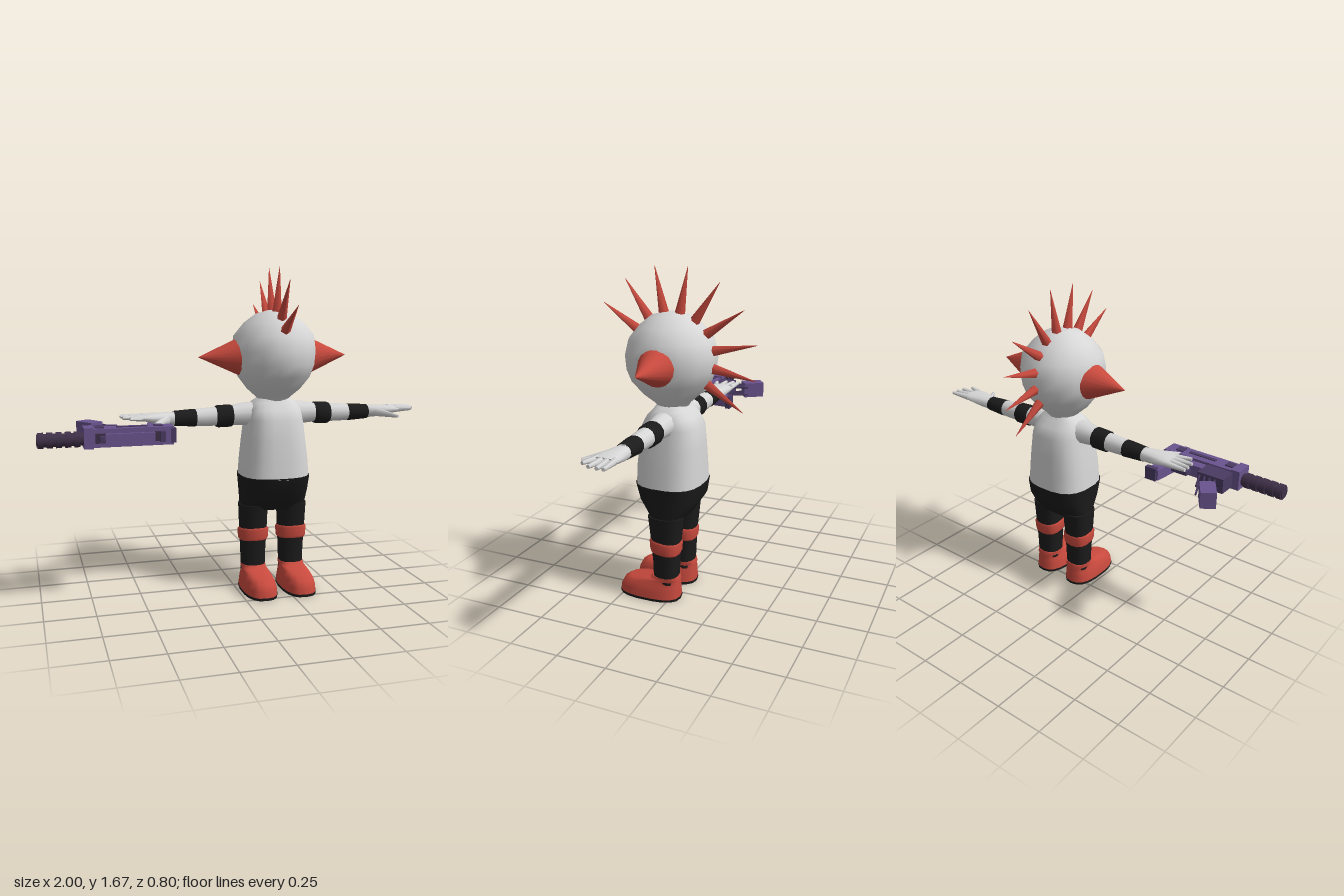
import * as THREE from 'three';

const mat = (name, color) => new THREE.MeshStandardMaterial({ name, color });

export function createModel() {
  const white = mat('white', 0xd6d6d6), black = mat('black', 0x1b1b1b), red = mat('red', 0xc94a3e);
  const purple = mat('purple', 0x6a548e), darkPurple = mat('dark purple', 0x4a3b63), barrelMat = mat('barrel purple', 0x3f3149);
  const model = new THREE.Group();
  const body = new THREE.Group();
  body.name = 'body';
  body.position.x = 0.205;
  const gun = new THREE.Group();
  gun.name = 'toyBlaster';
  model.add(body, gun);

  const add = (parent, name, geo, m) => {
    const mesh = new THREE.Mesh(geo, m);
    mesh.name = name;
    parent.add(mesh);
    return mesh;
  };

  // Closed skin over rings [y, cx, cz, rx, rz], with rounded-square exponent p
  const loft = (rings, n = 14, p = 2) => {
    const pos = [], idx = [];
    const sp = v => Math.sign(v) * Math.pow(Math.abs(v), 2 / p);
    const ring = ([y, cx, cz, rx, rz]) => {
      for (let i = 0; i < n; i++) {
        const a = (i + 0.5) / n * Math.PI * 2;
        pos.push(cx + rx * sp(Math.cos(a)), y, cz + rz * sp(Math.sin(a)));
      }
    };
    rings.forEach(ring);
    for (let r = 0; r < rings.length - 1; r++) for (let i = 0; i < n; i++) {
      const a = r * n + i, b = r * n + (i + 1) % n;
      idx.push(a, a + n, b, b, a + n, b + n);
    }
    for (const top of [false, true]) {
      const r = rings[top ? rings.length - 1 : 0], s = pos.length / 3;
      ring(r);
      pos.push(r[1], r[0], r[2]);
      for (let i = 0; i < n; i++) {
        const a = s + i, b = s + (i + 1) % n;
        idx.push(s + n, top ? b : a, top ? a : b);
      }
    }
    const g = new THREE.BufferGeometry();
    g.setAttribute('position', new THREE.Float32BufferAttribute(pos, 3));
    g.setIndex(idx);
    g.computeVertexNormals();
    return g;
  };

  // Tapered rod between two points
  const rod = (a, b, r0, r1, n = 6) => {
    const A = new THREE.Vector3(...a), d = new THREE.Vector3(...b).sub(A), len = d.length();
    const g = new THREE.CylinderGeometry(r1, r0, len, n);
    g.translate(0, len / 2, 0);
    g.applyQuaternion(new THREE.Quaternion().setFromUnitVectors(new THREE.Vector3(0, 1, 0), d.normalize()));
    return g.translate(A.x, A.y, A.z);
  };

  // Head
  add(body, 'head', loft([
    [0.98, 0, 0.03, 0.06, 0.07], [1.015, 0, 0.03, 0.095, 0.09], [1.055, 0, 0.035, 0.14, 0.14],
    [1.12, 0, 0.037, 0.188, 0.198], [1.18, 0, 0.037, 0.21, 0.222], [1.25, 0, 0.035, 0.217, 0.23],
    [1.325, 0, 0.035, 0.208, 0.21], [1.39, 0, 0.035, 0.155, 0.155], [1.435, 0, 0.035, 0.095, 0.1],
    [1.452, 0, 0.035, 0.035, 0.04]], 16), white);

  // Fan of nine spikes along the crest
  for (let i = 0; i < 9; i++) {
    const a = (33.5 + i * 22.5) * Math.PI / 180, c = Math.cos(a), s = Math.sin(a);
    add(body, 'crestSpike', rod([0, 1.235 + 0.19 * s, 0.033 + 0.19 * c],
      [0, 1.235 + 0.44 * s, 0.033 + 0.44 * c], 0.029, 0.001, 5), red);
  }

  // Torso and hips
  add(body, 'torso', loft([
    [0.6, 0, 0.033, 0.18, 0.168], [0.7, 0, 0.033, 0.172, 0.164], [0.8, 0, 0.03, 0.16, 0.156],
    [0.9, 0, 0.028, 0.147, 0.147], [0.95, 0, 0.028, 0.14, 0.118], [0.985, 0, 0.028, 0.115, 0.085],
    [1.01, 0, 0.028, 0.075, 0.07]], 20, 2.7), white);
  add(body, 'hips', loft([
    [0.425, 0, 0.025, 0.172, 0.08], [0.47, 0, 0.026, 0.174, 0.108], [0.53, 0, 0.028, 0.176, 0.152],
    [0.608, 0, 0.033, 0.182, 0.17]], 20, 2.9), black);

  for (const side of [-1, 1]) {
    // Ear cone
    add(body, 'earCone', rod([side * 0.19, 1.22, 0.03], [side * 0.396, 1.22, 0.03], 0.094, 0.001, 18), red);

    // Leg, knee band and shoe
    const x = side * 0.105;
    add(body, 'leg', loft([
      [0.08, x, 0.025, 0.062, 0.062], [0.2, x, 0.024, 0.065, 0.066], [0.32, x, 0.025, 0.071, 0.075],
      [0.45, x, 0.025, 0.075, 0.09]], 14, 2.5), black);
    const band = loft([
      [0.255, x, 0.026, 0.07, 0.072], [0.265, x, 0.026, 0.077, 0.077],
      [0.312, x, 0.026, 0.08, 0.08], [0.322, x, 0.026, 0.072, 0.075]], 14, 2.5);
    const bp = band.attributes.position;
    for (let i = 0; i < bp.count; i++) bp.setY(i, bp.getY(i) + (bp.getZ(i) - 0.026) * 0.1);
    add(body, 'kneeBand', band, red);
    add(body, 'shoe', loft([
      [0.012, x, 0.114, 0.086, 0.164], [0.045, x, 0.113, 0.083, 0.162], [0.075, x, 0.105, 0.076, 0.154],
      [0.097, x, 0.088, 0.066, 0.135], [0.108, x, 0.032, 0.064, 0.08], [0.126, x, 0.026, 0.064, 0.068]],
    18, 2.6), red);
    add(body, 'sole', loft([[0, x, 0.114, 0.086, 0.165], [0.013, x, 0.114, 0.088, 0.166]], 18, 2.6), black);

    // Arm pieces run sideways; the left one is built and turned for the right
    const arm = new THREE.Group();
    arm.name = side > 0 ? 'leftArm' : 'rightArm';
    body.add(arm);
    const along = (name, rings, m, p = 2) => {
      // rings are [x, y, z, half height, half depth]
      const g = loft(rings.map(r => [r[0], -r[1], r[2], r[3], r[4]]), 12, p).rotateZ(-Math.PI / 2);
      mirror(name, g, m);
    };
    const mirror = (name, g, m) => {
      if (side < 0) {
        g.scale(-1, 1, 1);
        const ix = g.index.array;
        for (let i = 0; i < ix.length; i += 3) [ix[i], ix[i + 1]] = [ix[i + 1], ix[i]];
        g.computeVertexNormals();
      }
      add(arm, name, g, m);
    };
    along('sleeve', [[0.06, 0.925, 0.028, 0.06, 0.07], [0.15, 0.925, 0.028, 0.06, 0.062],
      [0.23, 0.921, 0.028, 0.05, 0.05], [0.36, 0.916, 0.028, 0.047, 0.047],
      [0.53, 0.915, 0.028, 0.036, 0.04]], white);
    along('elbowBand', [[0.222, 0.919, 0.028, 0.054, 0.054], [0.232, 0.919, 0.028, 0.058, 0.057],
      [0.298, 0.917, 0.028, 0.057, 0.055], [0.308, 0.917, 0.028, 0.052, 0.052]], black);
    along('wristBand', [[0.412, 0.915, 0.028, 0.044, 0.046], [0.422, 0.915, 0.028, 0.045, 0.048],
      [0.525, 0.915, 0.028, 0.038, 0.043]], black);
    along('palm', [[0.52, 0.915, 0.028, 0.033, 0.038], [0.58, 0.917, 0.032, 0.03, 0.05],
      [0.64, 0.923, 0.036, 0.024, 0.064], [0.69, 0.927, 0.032, 0.015, 0.062]], white, 2.4);
    const fingers = [[0.67, -0.012, 0.79, -0.022], [0.68, 0.018, 0.79, 0.01],
      [0.68, 0.046, 0.785, 0.052], [0.67, 0.074, 0.755, 0.098]];
    for (const [x0, z0, x1, z1] of fingers)
      mirror('finger', rod([x0, 0.927, z0], [x1, 0.93, z1], 0.017, 0.009), white);
    mirror('thumb', rod([0.57, 0.913, 0.062], [0.65, 0.9, 0.165], 0.026, 0.009), white);
  }

  // Blaster lying on its side: top towards +z, grip towards -z
  const box = (name, x0, x1, y0, y1, z0, z1, m) => {
    const mesh = add(gun, name, new THREE.BoxGeometry(x1 - x0, y1 - y0, z1 - z0), m);
    mesh.position.set((x0 + x1) / 2, (y0 + y1) / 2, (z0 + z1) / 2);
    return mesh;
  };
  box('receiver', -0.75, -0.36, 0.82, 0.908, 0.15, 0.235, purple);
  box('frontHousing', -0.785, -0.74, 0.815, 0.915, 0.145, 0.24, purple);
  box('rearPlate', -0.372, -0.35, 0.83, 0.9, 0.135, 0.25, darkPurple);
  box('topRail', -0.72, -0.4, 0.845, 0.885, 0.23, 0.253, purple);
  box('frontSight', -0.715, -0.69, 0.852, 0.878, 0.25, 0.283, darkPurple);
  box('rearSight', -0.43, -0.405, 0.84, 0.89, 0.25, 0.272, darkPurple);
  box('lowerFrame', -0.6, -0.36, 0.835, 0.895, 0.105, 0.155, purple);
  box('ejectionSlot', -0.63, -0.48, 0.904, 0.912, 0.185, 0.205, darkPurple);
  for (const x of [-0.71, -0.43]) {
    box('sidePanel', x - 0.022, x + 0.022, 0.843, 0.888, 0.23, 0.256, barrelMat);
    box('sideStud', x - 0.02, x + 0.02, 0.905, 0.914, 0.175, 0.215, darkPurple);
  }
  box('foreGrip', -0.75, -0.61, 0.825, 0.9, 0.055, 0.155, darkPurple);

  // Barrel with raised collars
  add(gun, 'barrel', rod([-0.78, 0.858, 0.193], [-1, 0.858, 0.193], 0.031, 0.031, 10), barrelMat);
  for (let i = 0; i < 5; i++) {
    const x = -0.8 - i * 0.042;
    add(gun, 'barrelCollar', rod([x, 0.858, 0.193], [x - 0.027, 0.858, 0.193], 0.038, 0.038, 10), barrelMat);
  }

  // Angled stock with its struts
  const stock = box('stockPad', -0.77, -0.695, 0.822, 0.905, -0.112, 0.002, purple);
  stock.rotation.y = 0.6;
  for (let i = 0; i < 4; i++) for (const y of [0.84, 0.885])
    add(gun, 'stockStrut', rod([-0.745 + i * 0.026, y, -0.015 - i * 0.012], [-0.7 + i * 0.027, y, 0.062], 0.006, 0.006, 4), darkPurple);

  // Rear grip and trigger guard
  const grip = box('grip', -0.455, -0.395, 0.835, 0.89, -0.035, 0.12, purple);
  grip.rotation.y = -0.12;
  box('gripCap', -0.435, -0.375, 0.83, 0.895, -0.045, -0.02, darkPurple);
  box('triggerGuard', -0.54, -0.44, 0.852, 0.872, 0.06, 0.072, darkPurple);
  box('guardFront', -0.545, -0.533, 0.852, 0.872, 0.06, 0.11, darkPurple);

  return model;
}
